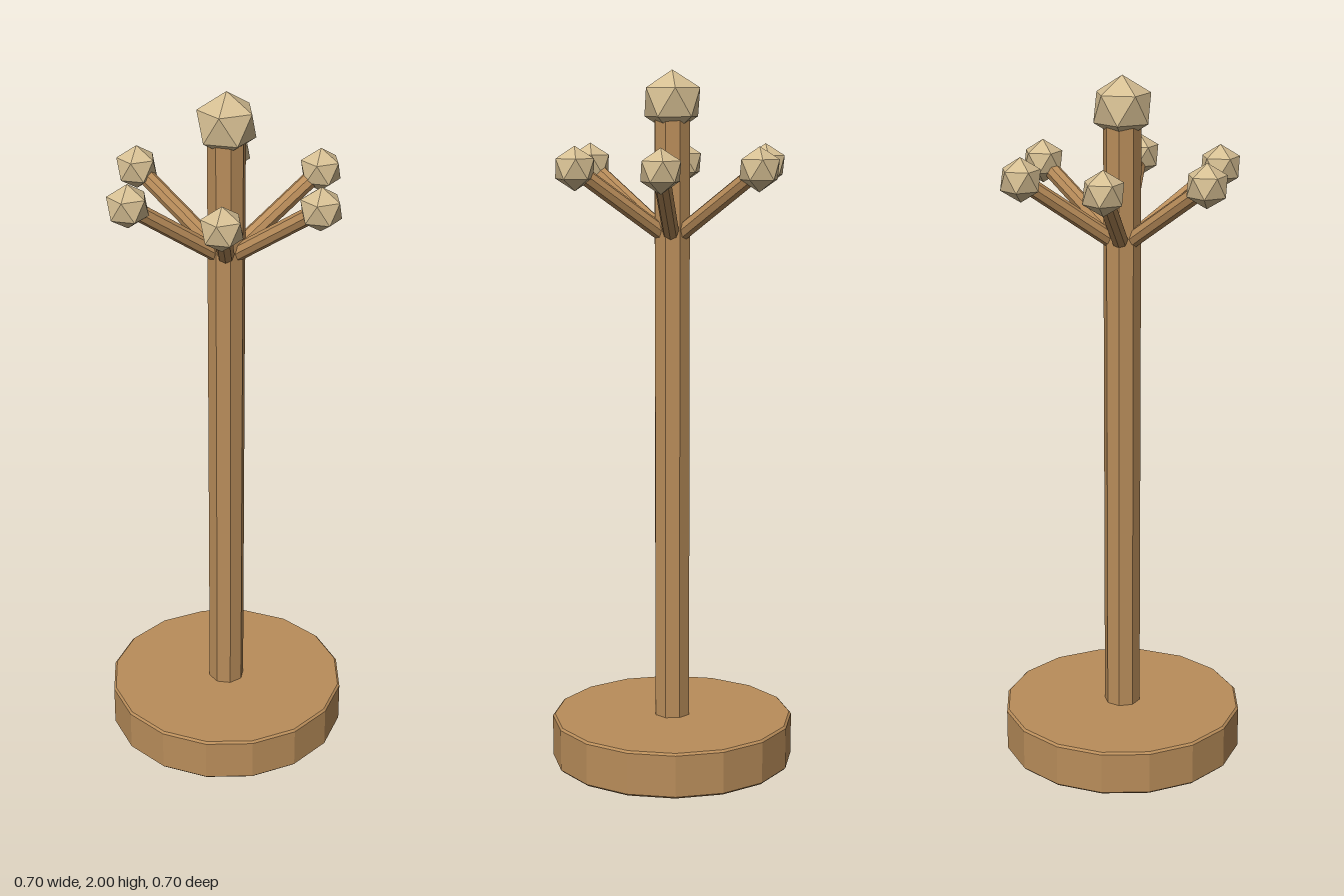
import * as THREE from 'three';

const wood = new THREE.MeshStandardMaterial({ color: 0xb98d5a, flatShading: true });
const paleWood = new THREE.MeshStandardMaterial({ color: 0xd6bf93, flatShading: true });

function part(name, geometry, material, parent) {
  const mesh = new THREE.Mesh(geometry, material);
  mesh.name = name;
  parent.add(mesh);
  return mesh;
}

// Faceted ball standing on a corner, with an upper-ring corner towards +x
function knobGeometry(radius) {
  const goldenRatio = (1 + Math.sqrt(5)) / 2;
  return new THREE.IcosahedronGeometry(radius, 0)
    .rotateX(-Math.atan(goldenRatio))
    .rotateY(Math.PI / 2);
}

export function createModel() {
  const model = new THREE.Group();
  model.name = 'coatStand';

  // Heavy round foot with slightly broken edges
  const R = 0.352, H = 0.132, bevel = 0.006;
  const profile = [
    [0, 0], [R - bevel, 0], [R, bevel], [R, H - bevel], [R - bevel, H], [0, H],
  ].map(([x, y]) => new THREE.Vector2(x, y));
  part('base', new THREE.LatheGeometry(profile, 16), wood, model);

  // Upright post, reaching into the foot and the top knob
  const bottom = 0.1, top = 1.89;
  const post = part('post', new THREE.CylinderGeometry(0.053, 0.053, top - bottom, 8), wood, model);
  post.position.y = (bottom + top) / 2;

  part('topKnob', knobGeometry(0.089), paleWood, model).position.y = 1.911;

  // Six slanting pegs, each ending in a small knob
  const up = new THREE.Vector3(0, 1, 0);
  const start = new THREE.Vector3(0, 1.525, 0);
  const smallKnob = knobGeometry(0.062);
  for (let i = 0; i < 6; i++) {
    const angle = (i * Math.PI) / 3;
    const end = new THREE.Vector3(0.293 * Math.cos(angle), 1.732, 0.293 * Math.sin(angle));
    const direction = end.clone().sub(start);
    const length = direction.length();
    direction.normalize();

    // Keep one edge of the peg facing upwards
    const side = new THREE.Vector3().crossVectors(up, direction).normalize();
    const front = new THREE.Vector3().crossVectors(side, direction);
    const peg = part('peg', new THREE.CylinderGeometry(0.0235, 0.0235, length, 8), wood, model);
    peg.quaternion.setFromRotationMatrix(new THREE.Matrix4().makeBasis(side, direction, front));
    peg.position.copy(start).add(end).multiplyScalar(0.5);

    part('pegKnob', smallKnob, paleWood, model).position.copy(end);
  }
  return model;
}
